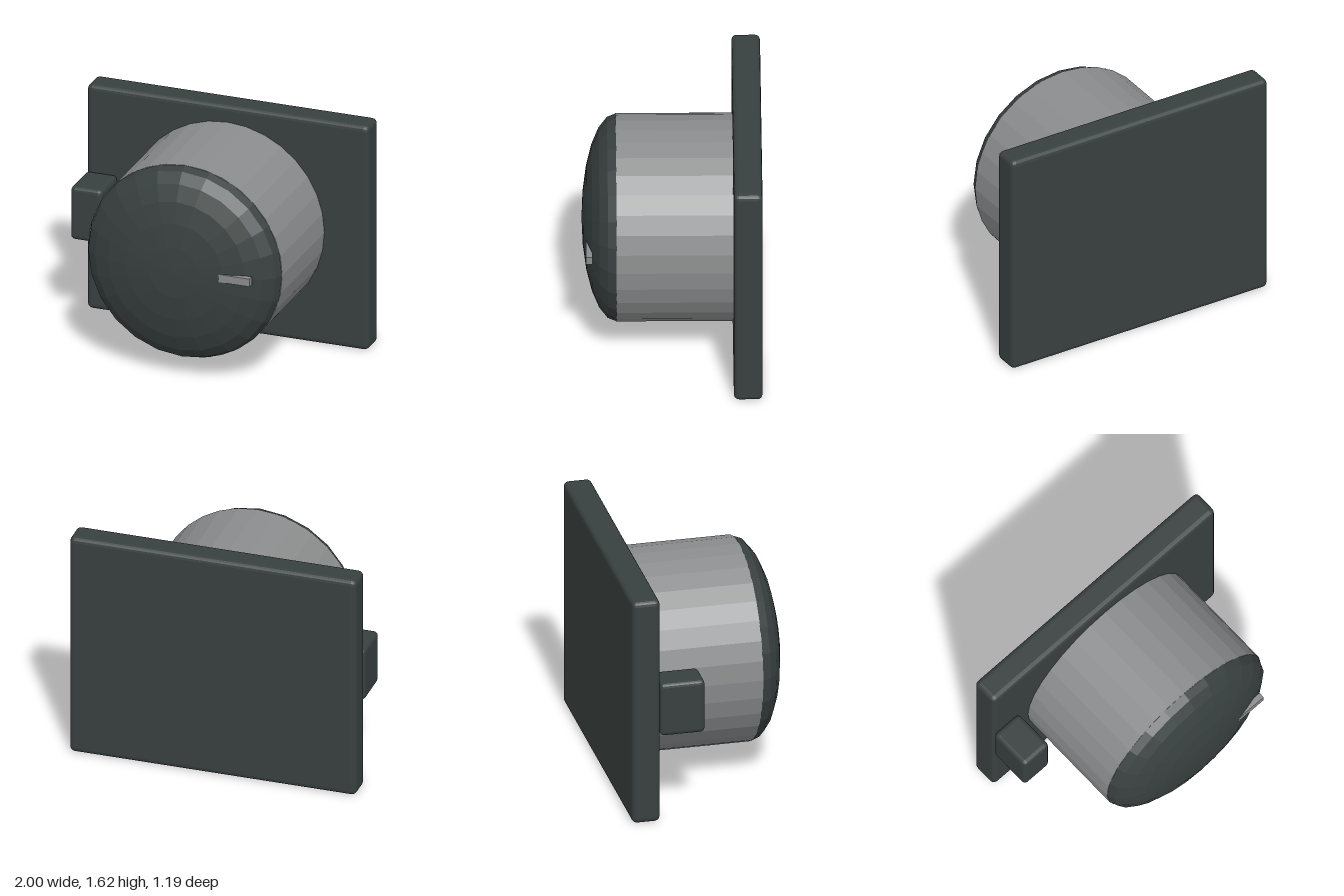
import * as THREE from 'three';
import { RoundedBoxGeometry } from 'three/addons/geometries/RoundedBoxGeometry.js';

export function createModel() {
  const group = new THREE.Group();
  const dark = new THREE.MeshStandardMaterial({ color: 0x38403f, flatShading: true });
  dark.name = 'dark slate';
  const gray = new THREE.MeshStandardMaterial({ color: 0x8a8c8d, flatShading: true });
  gray.name = 'mid gray';
  const centreY = 0.81;

  const add = (name, geometry, material, x, y, z) => {
    const mesh = new THREE.Mesh(geometry, material);
    mesh.name = name;
    mesh.position.set(x, y, z);
    group.add(mesh);
    return mesh;
  };

  // Mounting plate and the latch block on its right edge
  add('backPlate', new RoundedBoxGeometry(2, 1.615, 0.19, 2, 0.035), dark, 0, 0.8075, -0.5);
  add('latchBlock', new RoundedBoxGeometry(0.225, 0.38, 0.305, 2, 0.03), dark, -0.8875, 0.81, -0.2525);

  // Knob body
  const body = new THREE.CylinderGeometry(0.69, 0.69, 0.79, 32);
  body.rotateX(Math.PI / 2);
  add('knobBody', body, gray, 0, centreY, -0.025);

  // Flattened faceted dome on the front of the knob
  const dome = new THREE.SphereGeometry(0.69, 24, 6, 0, Math.PI * 2, 0, Math.PI / 2);
  dome.rotateX(Math.PI / 2);
  dome.scale(1, 1, 0.23 / 0.69);
  add('knobDome', dome, dark, 0, centreY, 0.367);

  // Pointer set into the dome
  add('pointer', new THREE.BoxGeometry(0.29, 0.055, 0.042), gray, 0.39, centreY + 0.003, 0.549);

  return group;
}
